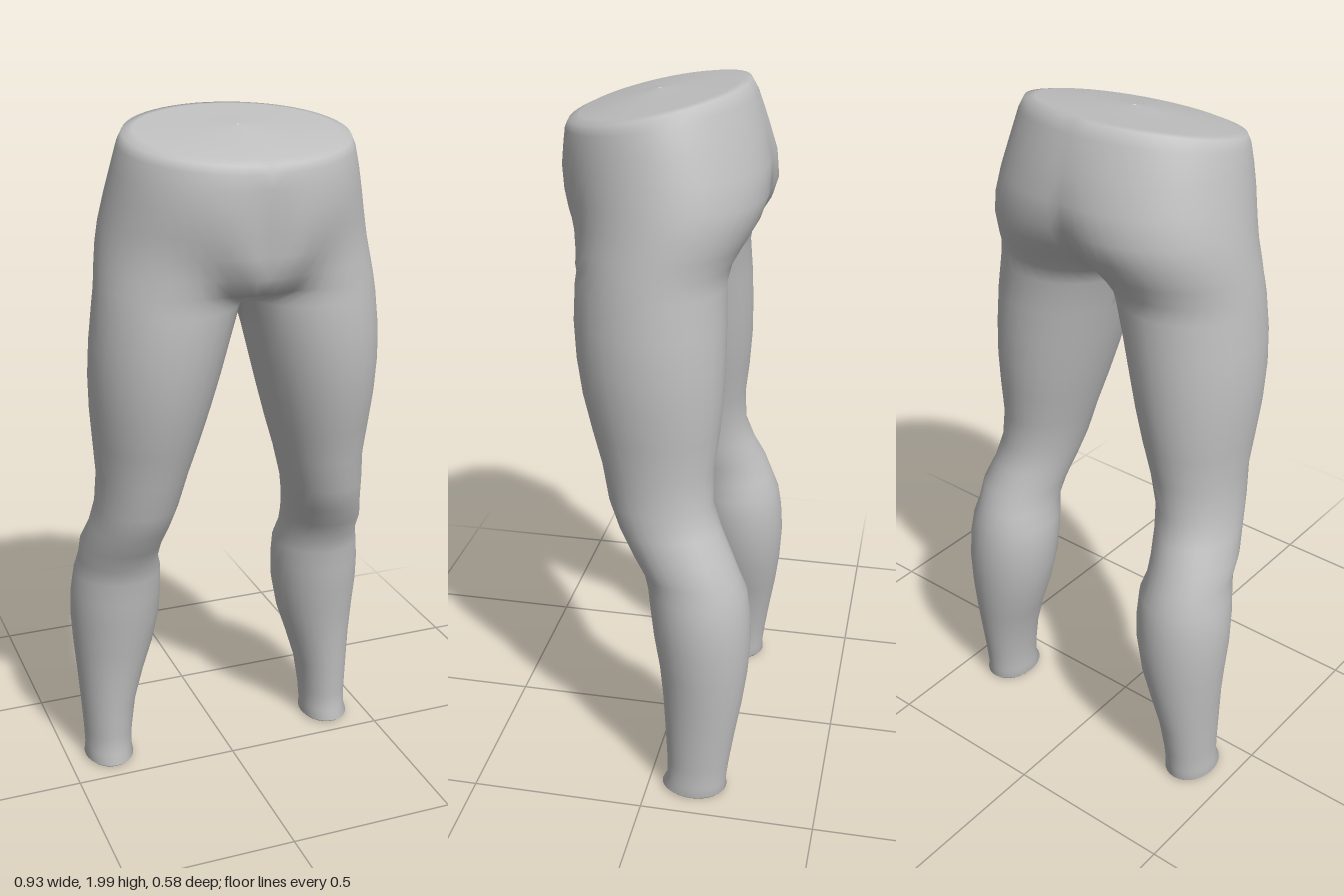
import * as THREE from 'three';
import { mergeVertices } from 'three/addons/utils/BufferGeometryUtils.js';

// Pelvis sections, top down: y, inner x, outer x, front z, back z, tilt, bulge, bulge width
const pelvis = [
  [1.969, -0.002, 0.002, 0.045, 0.035, 0, 0, 1],
  [1.965, -0.16, 0.16, 0.16, -0.1, -0.17, 0, 1],
  [1.961, -0.285, 0.285, 0.25, -0.175, -0.2, 0, 1],
  [1.955, -0.315, 0.315, 0.278, -0.2, -0.21, 0, 1],
  [1.925, -0.325, 0.328, 0.288, -0.22, -0.17, 0, 1],
  [1.86, -0.31, 0.343, 0.29, -0.247, -0.08, 0, 1],
  [1.79, -0.26, 0.358, 0.28, -0.268, -0.02, 0.012, 0.22],
  [1.72, -0.2, 0.373, 0.26, -0.27, 0, 0.034, 0.16],
  [1.66, -0.14, 0.384, 0.242, -0.25, 0, 0.06, 0.125],
  [1.6, -0.08, 0.394, 0.232, -0.215, 0, 0.09, 0.09],
  [1.55, -0.035, 0.401, 0.227, -0.188, 0, 0.09, 0.065],
];

// Leg sections, top down: y, inner x, outer x, front z, back z
const leg = [
  [1.5, 0, 0.408, 0.225, -0.18],
  [1.4, 0.03, 0.419, 0.226, -0.185],
  [1.3, 0.057, 0.424, 0.217, -0.187],
  [1.2, 0.085, 0.421, 0.2, -0.186],
  [1.1, 0.114, 0.413, 0.174, -0.178],
  [1.0, 0.145, 0.405, 0.145, -0.166],
  [0.9, 0.172, 0.411, 0.124, -0.167],
  [0.83, 0.189, 0.422, 0.095, -0.192],
  [0.76, 0.203, 0.442, 0.053, -0.226],
  [0.7, 0.207, 0.443, 0.02, -0.25],
  [0.65, 0.194, 0.455, 0.008, -0.27],
  [0.58, 0.192, 0.464, 0, -0.281],
  [0.5, 0.197, 0.466, -0.01, -0.286],
  [0.4, 0.217, 0.46, -0.028, -0.28],
  [0.3, 0.25, 0.452, -0.04, -0.267],
  [0.2, 0.279, 0.446, -0.048, -0.25],
  [0.1, 0.293, 0.441, -0.054, -0.235],
  [0.04, 0.297, 0.44, -0.055, -0.228],
  [0.012, 0.294, 0.445, -0.04, -0.23],
  [0.003, 0.302, 0.437, -0.05, -0.222],
  [0.006, 0.368, 0.37, -0.135, -0.137],
];

const STEPS = 28;

// Elliptical section cut off at the middle plane, from front round the outside to the back
function section([y, xi, xo, zf, zb, tilt = 0, bulge = 0, width = 1]) {
  const cx = (xi + xo) / 2, rx = (xo - xi) / 2;
  const cz = (zf + zb) / 2, rz = (zf - zb) / 2;
  const start = Math.acos(Math.max(-1, Math.min(1, -cx / rx)));
  const points = [];
  for (let j = 0; j <= STEPS; j++) {
    const t = start * (1 - (2 * j) / STEPS);
    const x = Math.max(0, cx + rx * Math.cos(t));
    const front = Math.min(1, Math.max(0, Math.sin(t) * 2));
    const z = cz + rz * Math.sin(t) + bulge * front * Math.exp(-((x / width) ** 2));
    points.push([x, y + tilt * z, z]);
  }
  return points;
}

// Both mirrored halves welded along the middle into one smooth skin
function bodyGeometry() {
  const rings = [...pelvis, ...leg].map(section);
  const positions = [], index = [];
  const row = STEPS + 1;
  for (const side of [1, -1]) {
    const base = positions.length / 3;
    for (const ring of rings) for (const [x, y, z] of ring) positions.push(side * x, y, z);
    for (let i = 0; i < rings.length - 1; i++) {
      for (let j = 0; j < STEPS; j++) {
        const a = base + i * row + j, b = a + 1, c = a + row, d = c + 1;
        if (side > 0) index.push(a, c, b, b, c, d);
        else index.push(a, b, c, b, d, c);
      }
    }
  }
  let geometry = new THREE.BufferGeometry();
  geometry.setAttribute('position', new THREE.Float32BufferAttribute(positions, 3));
  geometry.setIndex(index);
  geometry = mergeVertices(geometry, 1e-4);
  geometry.computeVertexNormals();
  return geometry;
}

export function createModel() {
  const grey = new THREE.MeshStandardMaterial({ color: 0xbfbfbf });
  grey.name = 'plain grey';
  const group = new THREE.Group();
  group.name = 'lowerBody';
  const body = new THREE.Mesh(bodyGeometry(), grey);
  body.name = 'pelvisAndLegs';
  group.add(body);
  return group;
}
